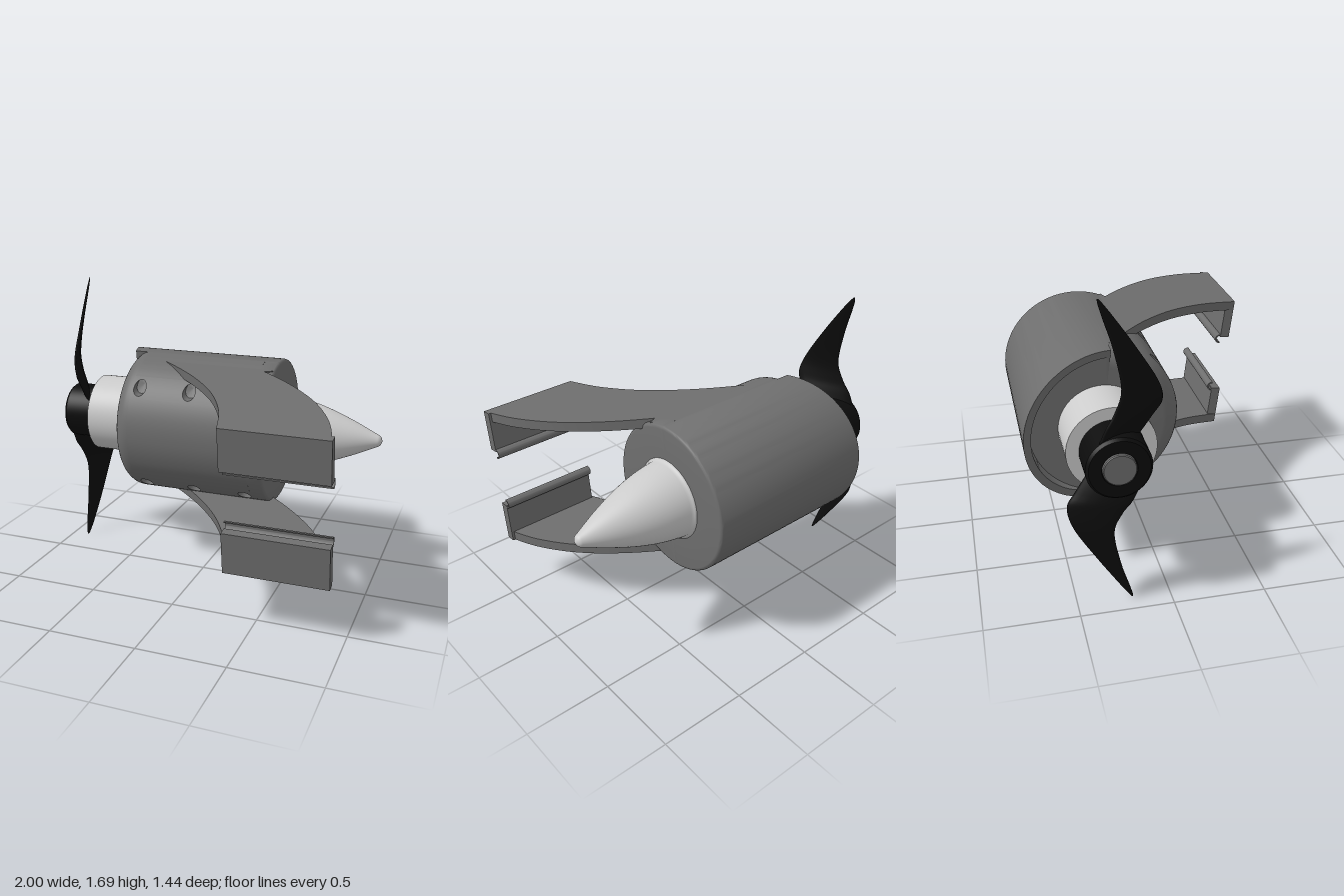
import * as THREE from 'three';
import { toCreasedNormals, mergeGeometries } from 'three/addons/utils/BufferGeometryUtils.js';

const R = 0.43; // housing radius
const mat = (color) => new THREE.MeshStandardMaterial({ color, side: THREE.DoubleSide });
const light = mat(0xcccccc), grey = mat(0x6e6e6e), black = mat(0x0c0c0c);
const crease = (g, a = 0.6) => toCreasedNormals(g, a);

function add(parent, name, geometry, material) {
  const mesh = new THREE.Mesh(geometry, material);
  mesh.name = name;
  parent.add(mesh);
  return mesh;
}

// Turned shape about the x axis; profile is a list of [x, radius].
// Angle 0 points to +z, positive angles go down.
function turned(profile, segments = 64, start = 0, length = Math.PI * 2) {
  const pts = profile.map(([x, r]) => new THREE.Vector2(r, x));
  return new THREE.LatheGeometry(pts, segments, start, length).rotateZ(-Math.PI / 2);
}

function moveVertices(g, rule) {
  const p = g.attributes.position, v = new THREE.Vector3();
  for (let i = 0; i < p.count; i++) {
    rule(v.fromBufferAttribute(p, i));
    p.setXYZ(i, v.x, v.y, v.z);
  }
  return g;
}

// Quarter-round profile points
function fillet(cx, cr, rad, from, to, n = 6) {
  return Array.from({ length: n + 1 }, (_, i) => {
    const a = from + (to - from) * i / n;
    return [cx + rad * Math.cos(a), cr + rad * Math.sin(a)];
  });
}
const rightEnd = [...fillet(0.37, R - 0.02, 0.02, Math.PI / 2, 0, 4), [0.39, 0.2]];

// Rear half shell with a slanted, hollow left end
function rearShell() {
  const g = turned([[-0.53, 0.2], [-0.53, 0.39], [-1, 0.39], [-1, R], ...rightEnd], 48, Math.PI / 2, Math.PI);
  return crease(moveVertices(g, (v) => { if (v.x < -0.9) v.x = -0.53 + 0.3 * v.z; }));
}

// Square patch of the front surface with a bored screw hole
function holePatch(x, y, half) {
  return moveVertices(new THREE.RingGeometry(0.001, 1, 32, 8), (v) => {
    const rho = Math.hypot(v.x, v.y), c = v.x / rho, s = v.y / rho;
    const rim = 0.038, square = half / Math.max(Math.abs(c), Math.abs(s));
    let r = rim, depth = 0;
    if (rho > 0.49) r = rim + (square - rim) * (rho - 0.5) * 2;
    else { r = rim * Math.min(1, rho / 0.375); depth = 0.05 + 0.02 * (1 - r / rim); }
    const py = y + r * s;
    v.set(x + r * c, py, Math.sqrt(Math.max(0, R * R - py * py)) - depth);
  });
}

// Front half: rounded left end, six screw holes
function frontCover() {
  const half = 0.05, yHole = 0.31, holes = [-0.38, -0.07, 0.25];
  const a0 = Math.asin((yHole - half) / R), a1 = Math.asin((yHole + half) / R), q = Math.PI / 2;
  const band = (x0, x1, from, to, n) => turned([[x0, R], [x1, R]], n, from, to - from);
  const parts = [
    turned([[-0.53, 0], ...fillet(-0.43, R - 0.1, 0.1, Math.PI, q, 8)], 48, -q, Math.PI),
    turned([[0.3, R], ...rightEnd], 48, -q, Math.PI),
    band(-0.43, 0.3, -a0, a0, 24),
    band(-0.43, 0.3, -q, -a1, 12),
    band(-0.43, 0.3, a1, q, 12),
  ];
  for (const side of [-1, 1]) {
    const [from, to] = side > 0 ? [-a1, -a0] : [a0, a1];
    holes.forEach((x, i) => {
      parts.push(holePatch(x, side * yHole, half));
      if (i) parts.push(band(holes[i - 1] + half, x - half, from, to, 8));
    });
  }
  return crease(mergeGeometries(parts));
}

// Swept clamp arm with a turned-in lip and a small curled edge
function clampArm(name) {
  const arm = new THREE.Group();
  arm.name = name;
  const edge = new THREE.SplineCurve([[-0.44, 0.02], [-0.28, 0.11], [-0.05, 0.295], [0.14, 0.505], [0.27, 0.735], [0.34, 0.963]]
    .map(([x, z]) => new THREE.Vector2(x, z))).getPoints(30);
  const shifted = edge.map((p) => new THREE.Vector2(p.x + 0.58, p.y)).filter((p) => p.y > 0.115).reverse();
  const outline = new THREE.Shape([...edge, ...shifted, new THREE.Vector2(0.38, 0.115), new THREE.Vector2(0.3, 0.02)]);
  const plate = new THREE.ExtrudeGeometry(outline, { depth: 0.055, bevelEnabled: false });
  add(arm, 'armPlate', crease(plate.rotateX(Math.PI / 2).translate(0, 0.418, 0)), grey);
  add(arm, 'armLip', new THREE.BoxGeometry(0.58, 0.24, 0.055).translate(0.63, 0.298, 0.9355), grey);
  const ring = new THREE.Shape();
  ring.absarc(0, 0, 0.028, -1.7, 1.9, false);
  ring.absarc(0, 0, 0.02, 1.9, -1.7, true);
  const curl = new THREE.ExtrudeGeometry(ring, { depth: 0.58, bevelEnabled: false, curveSegments: 12 });
  add(arm, 'armCurl', crease(curl.rotateY(Math.PI / 2).translate(0.34, 0.165, 0.905)), grey);
  return arm;
}

// Blade lofted from flat oval sections: [radius, leadX, leadZ, trailX, trailZ, thickness]
function bladeGeometry() {
  const rows = [
    [0.08, -0.82, 0.12, -0.97, -0.12, 0.05], [0.2, -0.83, 0.2, -0.965, -0.07, 0.045],
    [0.28, -0.84, 0.245, -0.95, -0.02, 0.035], [0.4, -0.865, 0.215, -0.935, 0.02, 0.025],
    [0.6, -0.875, 0.095, -0.925, -0.015, 0.02], [0.75, -0.885, -0.005, -0.915, -0.06, 0.014],
    [0.82, -0.893, -0.055, -0.908, -0.08, 0.008], [0.845, -0.899, -0.076, -0.901, -0.083, 0.002],
  ];
  const spline = rows[0].map((_, k) => new THREE.SplineCurve(rows.map((r, i) => new THREE.Vector2(i, r[k]))));
  const n = 16, m = 35, pos = [], index = [];
  for (let j = 0; j <= m; j++) {
    const [r, lx, lz, tx, tz, t] = spline.map((s) => s.getPoint(j / m).y);
    const len = Math.hypot(lx - tx, lz - tz) || 1;
    for (let i = 0; i < n; i++) {
      const a = i / n * Math.PI * 2, c = Math.cos(a) / 2, s = Math.sin(a) * t / 2 / len;
      pos.push((lx + tx) / 2 + (lx - tx) * c - (lz - tz) * s, r, (lz + tz) / 2 + (lz - tz) * c + (lx - tx) * s);
      if (j < m) {
        const p = j * n + i, q = j * n + (i + 1) % n;
        index.push(p, p + n, q, q, p + n, q + n);
      }
    }
  }
  const g = new THREE.BufferGeometry();
  g.setAttribute('position', new THREE.Float32BufferAttribute(pos, 3));
  g.setIndex(index);
  g.computeVertexNormals();
  return g;
}

export function createModel() {
  const model = new THREE.Group();
  model.name = 'clampOnThruster';
  const axis = new THREE.Group();
  axis.name = 'thruster';
  axis.position.set(0, 0.85, -0.285);
  model.add(axis);

  // Housing and clamp, tilted slightly about the motor axis
  const mount = new THREE.Group();
  mount.name = 'mount';
  mount.rotation.x = 0.122;
  axis.add(mount);
  add(mount, 'rearShell', rearShell(), grey);
  add(mount, 'frontCover', frontCover(), grey);
  add(mount, 'shellSeam', new THREE.PlaneGeometry(0.89, 2 * R).translate(-0.085, 0, 0), grey);
  const lower = clampArm('lowerArm');
  lower.scale.y = -1;
  mount.add(clampArm('upperArm'), lower);

  // Motor can and pointed tail
  add(axis, 'motorCan', crease(turned([[-0.79, 0], [-0.79, 0.235], [-0.45, 0.235]])), light);
  const tail = new THREE.SplineCurve([[0.34, 0.225], [0.39, 0.222], [0.53, 0.2], [0.67, 0.162], [0.82, 0.105], [0.95, 0.046], [0.985, 0.028], [1, 0]]
    .map(([x, r]) => new THREE.Vector2(x, r))).getPoints(40).map((p) => [p.x, Math.max(0, p.y)]);
  add(axis, 'tailCone', turned([[0.3, 0.235], [0.392, 0.235], ...tail.filter((p) => p[0] > 0.392)]), light);

  // Propeller
  const propeller = new THREE.Group();
  propeller.name = 'propeller';
  axis.add(propeller);
  add(propeller, 'hub', crease(turned([[-0.97, 0.085], [-0.99, 0.09], [-0.99, 0.155], [-0.975, 0.168], [-0.79, 0.168]])), black);
  add(propeller, 'shaftEnd', crease(turned([[-1, 0], [-1, 0.08], [-0.995, 0.085], [-0.8, 0.085]])), grey);
  const blade = bladeGeometry();
  for (const i of [0, 1]) add(propeller, 'blade', blade, black).rotation.x = i * Math.PI;
  return model;
}
